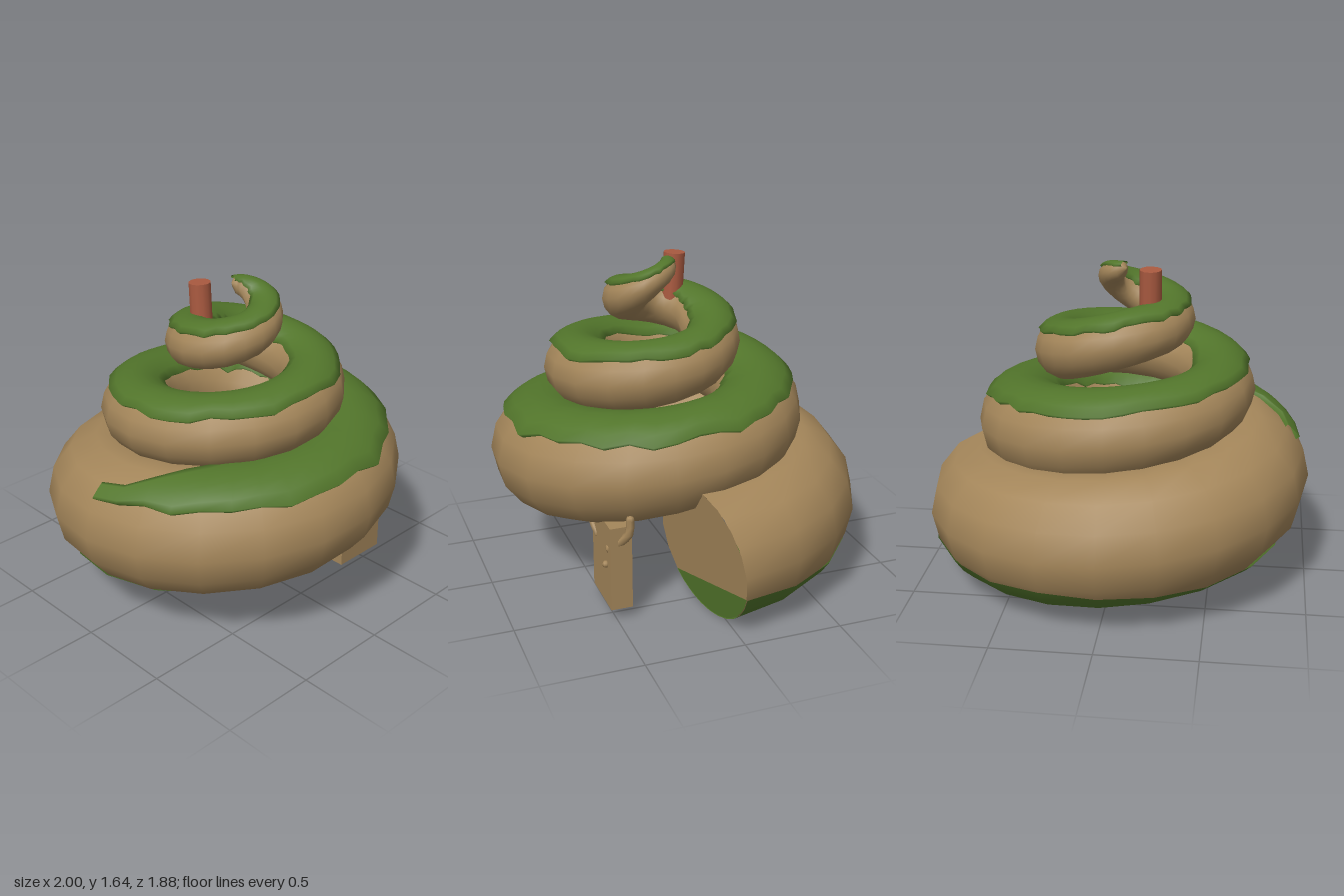
import * as THREE from 'three';

const RAD = Math.PI / 180;
const STEP = 18; // degrees between cross-sections
const END = 1152; // total sweep of the coil in degrees

const material = (name, color) => {
  const m = new THREE.MeshStandardMaterial({ color });
  m.name = name;
  return m;
};

// Radius from the axis, height and tube radius at every quarter turn
const keys = new THREE.CatmullRomCurve3([
  [0.66, 0.34, 0.34], [0.61, 0.415, 0.335], [0.665, 0.54, 0.33], [0.635, 0.655, 0.295],
  [0.485, 0.78, 0.25], [0.435, 0.885, 0.215], [0.53, 1.0, 0.175], [0.465, 1.085, 0.172],
  [0.275, 1.17, 0.157], [0.2, 1.275, 0.14], [0.24, 1.35, 0.12], [0.165, 1.44, 0.105],
  [0.1, 1.555, 0.065], [0.055, 1.61, 0.028],
].map((p) => new THREE.Vector3(...p)), false, 'catmullrom', 0.5);

// Point on the coil: t along the sweep, a around the tube (0 = outward), both in degrees
function coilPoint(t, a, lift = 0) {
  const k = keys.getPoint(t / 1170);
  const drift = THREE.MathUtils.clamp((t - 720) / 360, 0, 1);
  const h = t >= END ? 0.004 : k.z + lift * Math.min(1, k.z / 0.12);
  const r = k.x + h * Math.cos(a * RAD);
  const p = new THREE.Vector3(
    -0.06 * drift + r * Math.cos(t * RAD),
    k.y + h * Math.sin(a * RAD),
    0.08 * drift - r * Math.sin(t * RAD));
  // The mouth of the coil is cut at a slant
  if (t === 0) p.z += 0.25 * (1 - p.x) + 0.13 * (p.y - 0.34);
  return p;
}

// Skin rows of points into one smooth surface
function skin(rows, closed) {
  const n = rows[0].length, index = [];
  for (let i = 0; i + 1 < rows.length; i++) {
    for (let j = 0; j < (closed ? n : n - 1); j++) {
      const a = i * n + j, b = i * n + (j + 1) % n;
      index.push(a, a + n, b + n, a, b + n, b);
    }
  }
  const g = new THREE.BufferGeometry().setFromPoints(rows.flat());
  g.setIndex(index);
  g.computeVertexNormals();
  return g;
}

// Flat fan over one part of the coil's mouth
function mouthFan(a0, a1) {
  const pts = [], index = [];
  for (let j = 0; j <= 12; j++) pts.push(coilPoint(0, a0 + (a1 - a0) * j / 12));
  for (let j = 1; j < 12; j++) index.push(0, j, j + 1);
  const g = new THREE.BufferGeometry().setFromPoints(pts);
  g.setIndex(index);
  g.computeVertexNormals();
  return g;
}

export function createModel() {
  const group = new THREE.Group();
  const tan = material('tan shell', 0xa4865a);
  const green = material('moss green', 0x52752b);
  const brick = material('brick red', 0xaa5a40);
  green.side = THREE.DoubleSide;
  const add = (name, geometry, mat, parent = group) => {
    const mesh = new THREE.Mesh(geometry, mat);
    mesh.name = name;
    parent.add(mesh);
    return mesh;
  };
  let seed = 7;
  const jitter = (s) => {
    seed = (seed * 16807) % 2147483647;
    return (seed / 2147483647 - 0.5) * 2 * s;
  };

  // Coiled shell body
  const rows = [];
  for (let t = 0; t <= END; t += STEP) {
    rows.push(Array.from({ length: 14 }, (_, j) => coilPoint(t, j * 360 / 14)));
  }
  add('coiledShell', skin(rows, true), tan);

  // Moss layer along the top of the coil, with a raised ragged edge
  const topRows = [];
  for (let t = 180; t < END; t += STEP / 2) {
    const grow = Math.min(1, (t - 180) / 70);
    const a0 = 42 + jitter(5), a1 = THREE.MathUtils.lerp(48, 138, grow) + jitter(5);
    const row = [coilPoint(t, a0, -0.015)];
    for (let j = 0; j <= 7; j++) row.push(coilPoint(t, a0 + (a1 - a0) * j / 7, 0.016));
    row.push(coilPoint(t, a1, -0.015));
    topRows.push(row);
  }
  add('topMoss', skin(topRows, false), green);

  // Moss underneath the first turn, narrowing towards the front
  const underRows = [];
  for (let t = 0; t <= 252; t += STEP) {
    const rough = t ? 3 : 0;
    const a1 = (t < 180 ? -20 - t / 6 : -50 - (t - 180) * 0.5) + jitter(rough);
    const a0 = (t < 90 ? -140 - t * 0.3 : -167 + (t - 90) * 0.42) + jitter(rough);
    underRows.push(Array.from({ length: 11 }, (_, j) => coilPoint(t, a0 + (a1 - a0) * j / 10, 0.005)));
  }
  add('undersideMoss', skin(underRows, false), green);

  // Closed mouth of the coil: shell above, moss below
  add('mouthUpper', mouthFan(-20, 220), tan);
  add('mouthMoss', mouthFan(-140, -20), green);

  // Chimney
  const chimney = add('chimney', new THREE.CylinderGeometry(0.055, 0.055, 0.3, 12), brick);
  chimney.position.set(-0.17, 1.47, -0.06);
  chimney.rotation.x = -0.06;

  // Door with a knob and bent twigs at its upper corners
  const door = new THREE.Group();
  door.name = 'door';
  group.add(door);
  add('doorPanel', new THREE.BoxGeometry(0.295, 0.44, 0.11), tan, door).position.set(0.43, 0.275, 0.475);
  add('doorKnob', new THREE.SphereGeometry(0.018, 8, 6), tan, door).position.set(0.515, 0.28, 0.535);
  const twig = (name, points, r) => {
    const curve = new THREE.CatmullRomCurve3(points.map((p) => new THREE.Vector3(...p)));
    add(name, new THREE.TubeGeometry(curve, 6, r, 6), tan, door);
    for (const p of [points[0], points[points.length - 1]]) {
      add(name + 'End', new THREE.SphereGeometry(r, 6, 4), tan, door).position.set(...p);
    }
  };
  twig('leftTwig', [[0.53, 0.37, 0.52], [0.57, 0.42, 0.47], [0.6, 0.47, 0.44], [0.6, 0.54, 0.435]], 0.022);
  twig('rightTwig', [[0.34, 0.36, 0.52], [0.31, 0.39, 0.53], [0.25, 0.43, 0.53]], 0.018);
  return group;
}
